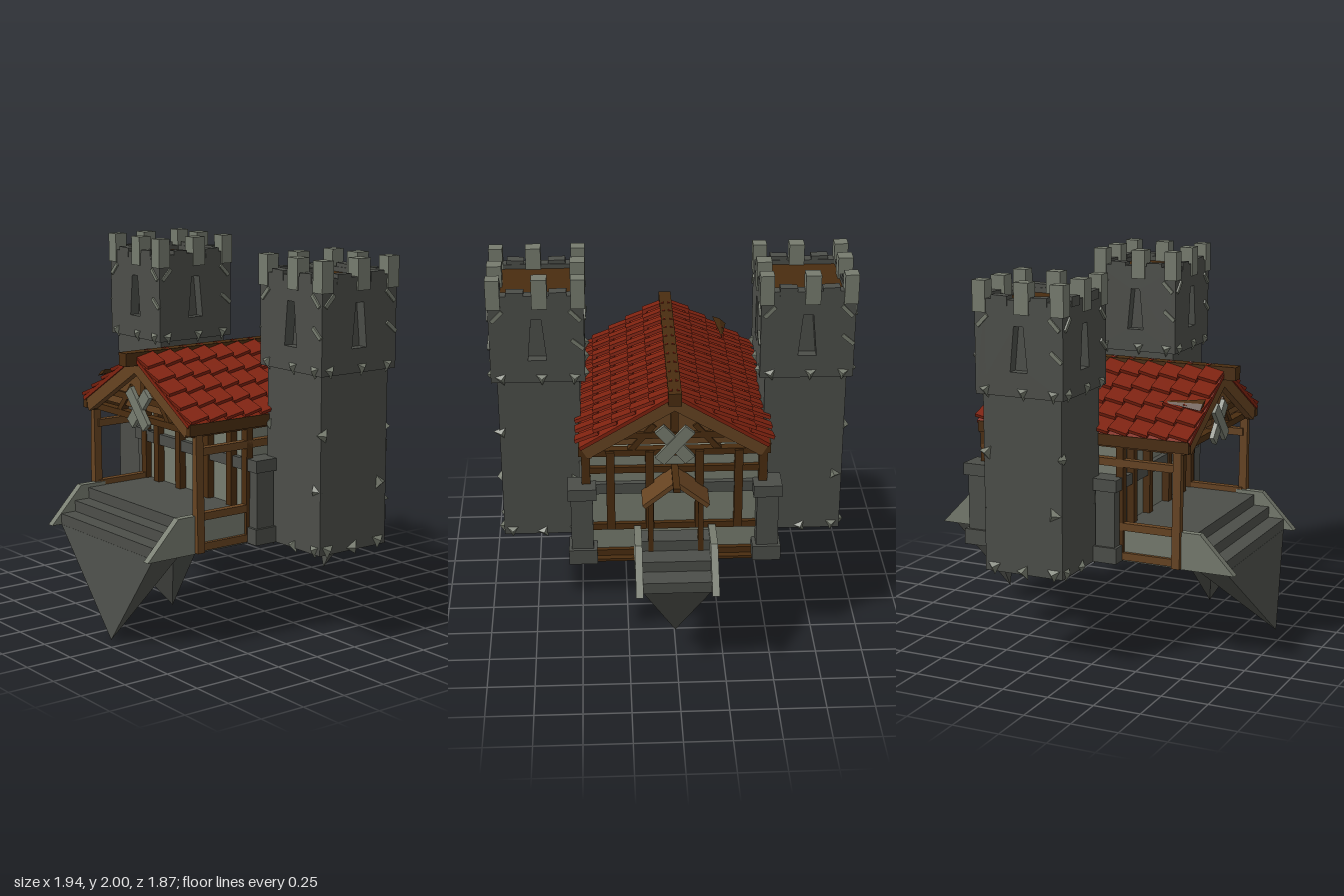
import * as THREE from 'three';

const mat = (name, color) => {
  const m = new THREE.MeshStandardMaterial({ color });
  m.name = name;
  return m;
};

export function createModel() {
  const stone = mat('dark stone', 0x4c4e49);
  const pale = mat('pale stone', 0x767b6e);
  const red = mat('roof red', 0x80220f);
  const brown = mat('dark wood', 0x4a2d10);
  const wood = mat('light wood', 0x664321);
  const root = new THREE.Group();
  root.name = 'gatehouse';

  const group = (name, parent = root) => {
    const g = new THREE.Group();
    g.name = name;
    parent.add(g);
    return g;
  };
  const mesh = (parent, name, geo, m) => {
    const o = new THREE.Mesh(geo, m);
    o.name = name;
    parent.add(o);
    return o;
  };
  // Box given by its limits
  const box = (p, name, m, x0, x1, y0, y1, z0, z1) => {
    const o = mesh(p, name, new THREE.BoxGeometry(x1 - x0, y1 - y0, z1 - z0), m);
    o.position.set((x0 + x1) / 2, (y0 + y1) / 2, (z0 + z1) / 2);
    return o;
  };
  const faceted = (geo) => {
    const g = geo.toNonIndexed();
    g.computeVertexNormals();
    return g;
  };
  // Outline in x and y, given a depth and centred on z
  const plate = (p, name, m, pts, z, depth) => {
    const s = new THREE.Shape(pts.map(([x, y]) => new THREE.Vector2(x, y)));
    const o = mesh(p, name, new THREE.ExtrudeGeometry(s, { depth, bevelEnabled: false }), m);
    o.position.z = z - depth / 2;
    return o;
  };
  // Inverted pyramid hanging from a rectangle
  const spike = (p, m, x0, x1, y, z0, z1, tip) => {
    const c = [[x0, y, z0], [x0, y, z1], [x1, y, z1], [x1, y, z0]];
    const v = [c[0], c[1], c[2], c[0], c[2], c[3]].flat();
    c.forEach((a, i) => v.push(...a, ...tip, ...c[(i + 1) % 4]));
    const g = new THREE.BufferGeometry();
    g.setAttribute('position', new THREE.Float32BufferAttribute(v, 3));
    g.computeVertexNormals();
    return mesh(p, 'foundationSpike', g, m);
  };

  // ---- Towers ----
  const wallShape = new THREE.Shape([[-0.245, 0], [0.245, 0], [0.245, 0.48], [-0.245, 0.48]]
    .map(([x, y]) => new THREE.Vector2(x, y)));
  wallShape.holes.push(new THREE.Path([[-0.048, 0.12], [-0.026, 0.35], [0.026, 0.35], [0.048, 0.12]]
    .map(([x, y]) => new THREE.Vector2(x, y))));
  const wallGeo = new THREE.ExtrudeGeometry(wallShape, { depth: 0.06, bevelEnabled: false });
  const chipGeo = faceted(new THREE.ConeGeometry(0.045, 0.03, 3).rotateX(Math.PI / 2));
  for (const s of [-1, 1]) {
    const t = group(s > 0 ? 'leftTower' : 'rightTower');
    t.position.set(s * 0.7, 0, -0.052);
    box(t, 'shaft', stone, -0.215, 0.215, 0.495, 1.43, -0.22, 0.22);
    box(t, 'core', stone, -0.19, 0.19, 1.43, 1.86, -0.19, 0.19);
    box(t, 'deck', brown, -0.2, 0.2, 1.86, 1.885, -0.2, 0.2);
    box(t, 'corbel', stone, -0.245, 0.245, 1.425, 1.44, -0.245, 0.245);
    for (let i = 0; i < 4; i++) {
      const side = group('towerSide', t);
      side.rotation.y = i * Math.PI / 2;
      mesh(side, 'upperWall', wallGeo, stone).position.set(0, 1.43, 0.185);
      // Battlements
      box(side, 'cornerMerlon', pale, 0.18, 0.253, 1.84, 2, 0.18, 0.253);
      box(side, 'middleMerlon', pale, -0.02, 0.06, 1.84, 2, 0.175, 0.253);
      for (const x of [-0.105, 0.115]) {
        const low = box(side, 'lowMerlon', stone, x - 0.045, x + 0.045, 1.88, 1.93, 0.19, 0.248);
        low.rotation.z = x * 0.3;
      }
      // Pale stones set into the faces
      const chips = [[-0.19, 1.45, 0.245, 0.3], [0.19, 1.45, 0.245, 2], [0.02, 1.45, 0.245, 0],
        [-0.17, 0.52, 0.22, 0], [0.17, 0.52, 0.22, 2.1], [0.0, 0.51, 0.22, 0.5],
        [0.175, 0.83, 0.22, 1.5], [-0.205, 1.12, 0.22, 0.4]];
      for (const [x, y, z, r] of chips) {
        const c = mesh(side, 'cornerStone', chipGeo, pale);
        c.position.set(x, y, z + 0.008);
        c.rotation.z = r;
      }
      for (const [x, y, r] of [[-0.2, 1.8, 0.8], [0.2, 1.8, -0.8], [0.21, 1.64, -0.7]]) {
        const c = box(side, 'edgeStone', pale, -0.04, 0.04, -0.01, 0.01, -0.008, 0.008);
        c.position.set(x, y, 0.247);
        c.rotation.z = r;
      }
    }
  }

  // ---- Hall ----
  const hall = group('hall');
  box(hall, 'walls', pale, -0.445, 0.445, 0.5, 1.13, -0.5, 0.27);
  box(hall, 'floor', brown, -0.48, 0.48, 0.485, 0.5, -0.56, 0.28);
  box(hall, 'porchBase', stone, -0.46, 0.46, 0.485, 0.67, 0.27, 0.6);
  for (const z of [0.275, -0.505]) {
    box(hall, 'stoneLedge', stone, -0.55, 0.55, 0.88, 0.94, z - 0.025, z + 0.025);
    for (const x of [-0.335, -0.13, 0.13, 0.335]) {
      box(hall, 'wallPost', brown, x - 0.022, x + 0.022, 0.67, 1.13, z - 0.035, z + 0.035);
    }
  }
  for (const y of [0.5, 0.66, 1.0]) box(hall, 'backRail', brown, -0.46, 0.46, y, y + 0.035, -0.525, -0.5);
  for (const s of [-1, 1]) {
    const g = group('sideFrame', hall);
    const sb = (name, m, x0, x1, ...r) => box(g, name, m, Math.min(s * x0, s * x1), Math.max(s * x0, s * x1), ...r);
    sb('porchSide', pale, 0.455, 0.465, 0.5, 0.67, 0.28, 0.6);
    sb('ledge', stone, 0.44, 0.5, 0.88, 0.94, -0.5, 0.27);
    for (const [y0, y1] of [[0.5, 0.54], [0.66, 0.7], [1.0, 1.04]]) {
      sb('sideRail', wood, 0.445, 0.485, y0, y1, -0.53, 0.61);
    }
    for (const z of [0.285, -0.36, -0.515]) sb('sidePost', brown, 0.44, 0.485, 0.5, 1.13, z - 0.02, z + 0.02);
    sb('topPlate', brown, 0.43, 0.485, 1.1, 1.15, -0.54, 0.65);
    // Tapered front post, wider at the foot
    plate(g, 'porchPost', wood, s > 0
      ? [[0.455, 0.495], [0.505, 0.495], [0.49, 1.15], [0.46, 1.15]]
      : [[-0.505, 0.495], [-0.455, 0.495], [-0.46, 1.15], [-0.49, 1.15]], 0.61, 0.045);
    // Stone buttresses
    for (const [z0, z1, x0] of [[0.175, 0.285, 0.44], [-0.58, -0.47, 0.43]]) {
      sb('buttress', stone, x0, 0.545, 0.57, 0.89, z0, z1);
      sb('buttressFoot', stone, x0 - 0.02, 0.56, 0.495, 0.58, z0 - 0.02, z1 + 0.015);
      sb('buttressCap', stone, x0 - 0.02, 0.56, 0.88, 0.945, z0 - 0.02, z1 + 0.015);
    }
  }

  // ---- Gables ----
  for (const [z, d] of [[0.6, 1], [-0.5, -1]]) {
    const g = group(d > 0 ? 'frontGable' : 'backGable', hall);
    plate(g, 'gableBoards', wood, [[-0.43, 1.16], [0.43, 1.16], [0, 1.42]], z, 0.02);
    box(g, 'tieBeam', brown, -0.48, 0.48, 1.1, 1.135, z - 0.025, z + 0.025);
    box(g, 'collarBeam', brown, -0.33, 0.33, 1.2, 1.235, z - 0.025, z + 0.025);
    box(g, 'kingPost', brown, -0.02, 0.02, 1.13, 1.43, z - 0.022, z + 0.022);
    for (const r of [-1, 1]) {
      const strut = box(g, 'strut', brown, -0.015, 0.015, -0.1, 0.1, -0.022, 0.022);
      strut.position.set(r * 0.17, 1.2, z);
      strut.rotation.z = r * 0.7;
      const bar = box(g, 'crossEmblem', pale, -0.032, 0.032, -0.12, 0.12, -0.012, 0.012);
      bar.position.set(0, 1.175, z + d * (0.045 + r * 0.004));
      bar.rotation.z = r * 0.72;
    }
  }

  // ---- Roof ----
  const roof = group('roof');
  const angle = Math.atan2(0.3, 0.5);
  for (const s of [-1, 1]) {
    const half = group('roofSlope', roof);
    half.position.y = 1.465;
    if (s < 0) half.rotation.y = Math.PI;
    const slope = group('slopeParts', half);
    slope.rotation.z = -angle;
    const zf = (z) => s * z; // the turned half runs the other way
    const span = (name, m, x0, x1, y0, y1, a, b) =>
      box(slope, name, m, x0, x1, y0, y1, Math.min(zf(a), zf(b)), Math.max(zf(a), zf(b)));
    span('roofBoards', red, 0, 0.578, -0.02, 0, -0.55, 0.68);
    span('underBoards', brown, 0, 0.57, -0.035, -0.02, -0.54, 0.67);
    span('frontBargeboard', wood, 0, 0.575, -0.085, -0.02, 0.63, 0.672);
    span('backBargeboard', wood, 0, 0.575, -0.085, -0.02, -0.542, -0.5);
    // Overlapping skewed tiles
    for (let r = 0; r < 5; r++) {
      for (let i = 0; i < 11; i++) {
        const tile = mesh(slope, 'roofTile', new THREE.BoxGeometry(0.13, 0.018, 0.106), red);
        tile.position.set(0.07 + r * 0.112, 0.018, zf(-0.494 + i * 0.1118));
        tile.rotation.set(s * 0.2, 0.12 * s * (i % 2 ? 1 : 0.6), 0.17);
      }
    }
    const eave = [0.465, 0.5].map((x) => x * s).sort((a, b) => a - b);
    box(roof, 'eaveBoard', brown, ...eave, 1.11, 1.17, -0.54, 0.675);
  }
  box(roof, 'ridgeBeam', brown, -0.034, 0.034, 1.41, 1.48, -0.577, 0.745);
  // Loose splinter lying on the slope
  const splinter = mesh(roof, 'loosePlank', faceted(new THREE.ConeGeometry(0.045, 0.25, 4).rotateX(-Math.PI / 2)), brown);
  splinter.scale.y = 0.2;
  splinter.rotation.z = angle;
  splinter.position.set(-0.31, 1.328, 0.55);

  // ---- Stairs; d is the outward z direction ----
  const stairs = (name, half, wide, z0, z1, zEnd, d) => {
    const g = group(name);
    const n = 3;
    for (let i = 0; i < n; i++) {
      const end = z0 + (z1 - z0) * (1 - i / n);
      box(g, 'step', stone, -half, half, i ? 0.49 + i * 0.06 : 0.488, 0.55 + i * 0.06,
        Math.min(d * z0, d * end), Math.max(d * z0, d * end));
    }
    for (const s of [-1, 1]) {
      const side = plate(g, 'stairParapet', pale,
        [[z0 - 0.02, 0.49], [zEnd, 0.49], [zEnd - 0.19, 0.69], [z0 - 0.02, 0.69]], 0, wide);
      side.rotation.y = -d * Math.PI / 2;
      side.position.set(s * (half + wide / 2) + d * wide / 2, 0, 0);
    }
    return g;
  };
  const front = stairs('frontStairs', 0.44, 0.04, 0.6, 0.865, 0.925, 1);
  spike(front, stone, -0.44, 0.44, 0.49, 0.7, 0.866, [0.15, 0.004, 0.937]);
  spike(front, stone, -0.3, 0.42, 0.49, 0.58, 0.73, [0.15, 0.12, 0.545]);
  const back = stairs('backStairs', 0.178, 0.038, 0.56, 0.89, 0.935, -1);
  spike(back, stone, -0.18, 0.18, 0.49, -0.88, -0.68, [0, 0.085, -0.63]);
  spike(back, stone, -0.16, 0.16, 0.49, -0.72, -0.6, [0.03, 0.18, -0.565]);

  // ---- Back door hood ----
  const hood = group('backHood');
  box(hood, 'hoodRidge', brown, -0.018, 0.018, 1.02, 1.045, -0.78, -0.52);
  for (const s of [-1, 1]) {
    const b = box(hood, 'hoodBoard', wood, -0.105, 0.105, -0.012, 0.012, -0.09, 0.09);
    b.position.set(s * 0.085, 0.955, -0.605);
    b.rotation.z = -s * 0.68;
    box(hood, 'hoodPost', brown, s * 0.13 - 0.014, s * 0.13 + 0.014, 0.6, 0.92, -0.675, -0.645);
  }
  return root;
}
